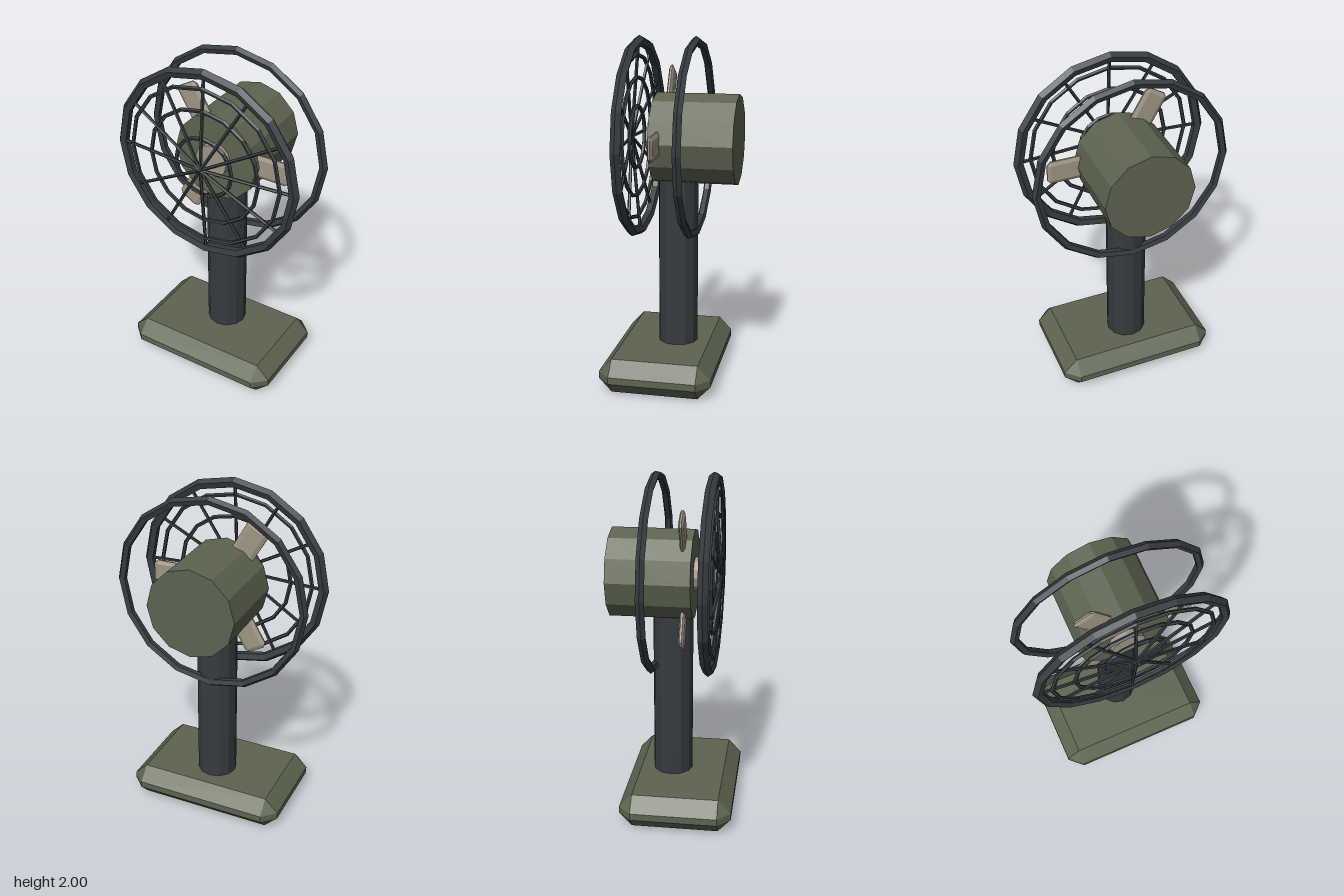
import * as THREE from 'three';
import { ConvexGeometry } from 'three/addons/geometries/ConvexGeometry.js';

const AXIS_Y = 1.42; // height of the fan axis

// Faceted normals for the low-poly look
function faceted(geometry) {
  const g = geometry.index ? geometry.toNonIndexed() : geometry;
  g.computeVertexNormals();
  return g;
}

// Box with every edge and corner chamfered; h = half sizes, b = chamfer sizes
function chamferedBox(h, b) {
  const points = [];
  for (const x of [-1, 1]) for (const y of [-1, 1]) for (const z of [-1, 1]) {
    for (let axis = 0; axis < 3; axis++) {
      const inset = [h[0] - b[0], h[1] - b[1], h[2] - b[2]];
      inset[axis] = h[axis];
      points.push(new THREE.Vector3(x * inset[0], y * inset[1], z * inset[2]));
    }
  }
  return new ConvexGeometry(points);
}

export function createModel() {
  const olive = new THREE.MeshStandardMaterial({ color: 0x5d644f });
  olive.name = 'olive';
  const charcoal = new THREE.MeshStandardMaterial({ color: 0x343b3f });
  charcoal.name = 'charcoal';
  const beige = new THREE.MeshStandardMaterial({ color: 0x9f9683 });
  beige.name = 'beige';

  const model = new THREE.Group();
  model.name = 'deskFan';

  function add(parent, name, geometry, material, x, y, z) {
    const mesh = new THREE.Mesh(faceted(geometry), material);
    mesh.name = name;
    mesh.position.set(x, y, z);
    parent.add(mesh);
    return mesh;
  }

  // Stand
  add(model, 'base', chamferedBox([0.48, 0.1, 0.325], [0.08, 0.08, 0.075]), olive, 0, 0.1, 0.04);
  add(model, 'pole', new THREE.CylinderGeometry(0.117, 0.117, 1.1, 12), charcoal, 0, 0.72, -0.02);

  // Everything that sits around the fan axis
  const head = new THREE.Group();
  head.name = 'head';
  head.position.y = AXIS_Y;
  model.add(head);

  const drum = (r, length) => new THREE.CylinderGeometry(r, r, length, 12).rotateX(Math.PI / 2);
  add(head, 'motorHousing', drum(0.26, 0.475), olive, 0, 0, -0.132);
  add(head, 'hub', drum(0.098, 0.1), beige, 0, 0, 0.103);

  // Three blades
  for (let i = 0; i < 3; i++) {
    const blade = chamferedBox([0.17, 0.07, 0.015], [0.022, 0.022, 0.01])
      .translate(0.265, 0, 0).rotateZ(i * Math.PI * 2 / 3);
    add(head, 'blade', blade, beige, 0, 0, 0.054);
  }

  // Guard: rims and inner rings as [name, radius, tube, sides, z]
  const rings = [
    ['frontRim', 0.55, 0.03, 5, 0.206],
    ['backRim', 0.553, 0.025, 5, -0.12],
    ['guardRing', 0.474, 0.012, 5, 0.225],
    ['guardRing', 0.345, 0.012, 5, 0.225],
    ['guardRing', 0.178, 0.012, 5, 0.225],
  ];
  for (const [name, radius, tube, sides, z] of rings) {
    add(head, name, new THREE.TorusGeometry(radius, tube, sides, 16), charcoal, 0, 0, z);
  }

  // Guard spokes, rising from the front rim to the middle
  for (let i = 0; i < 12; i++) {
    const a = i * Math.PI / 6;
    const rim = new THREE.Vector3(0.545 * Math.cos(a), 0.545 * Math.sin(a), 0.212);
    const path = new THREE.LineCurve3(rim, new THREE.Vector3(0, 0, 0.257));
    const spoke = new THREE.CylinderGeometry(0.01, 0.01, path.getLength(), 5);
    const mid = path.getPoint(0.5);
    const mesh = add(head, 'guardSpoke', spoke, charcoal, mid.x, mid.y, mid.z);
    mesh.quaternion.setFromUnitVectors(new THREE.Vector3(0, 1, 0), path.getTangent(0));
  }

  return model;
}
